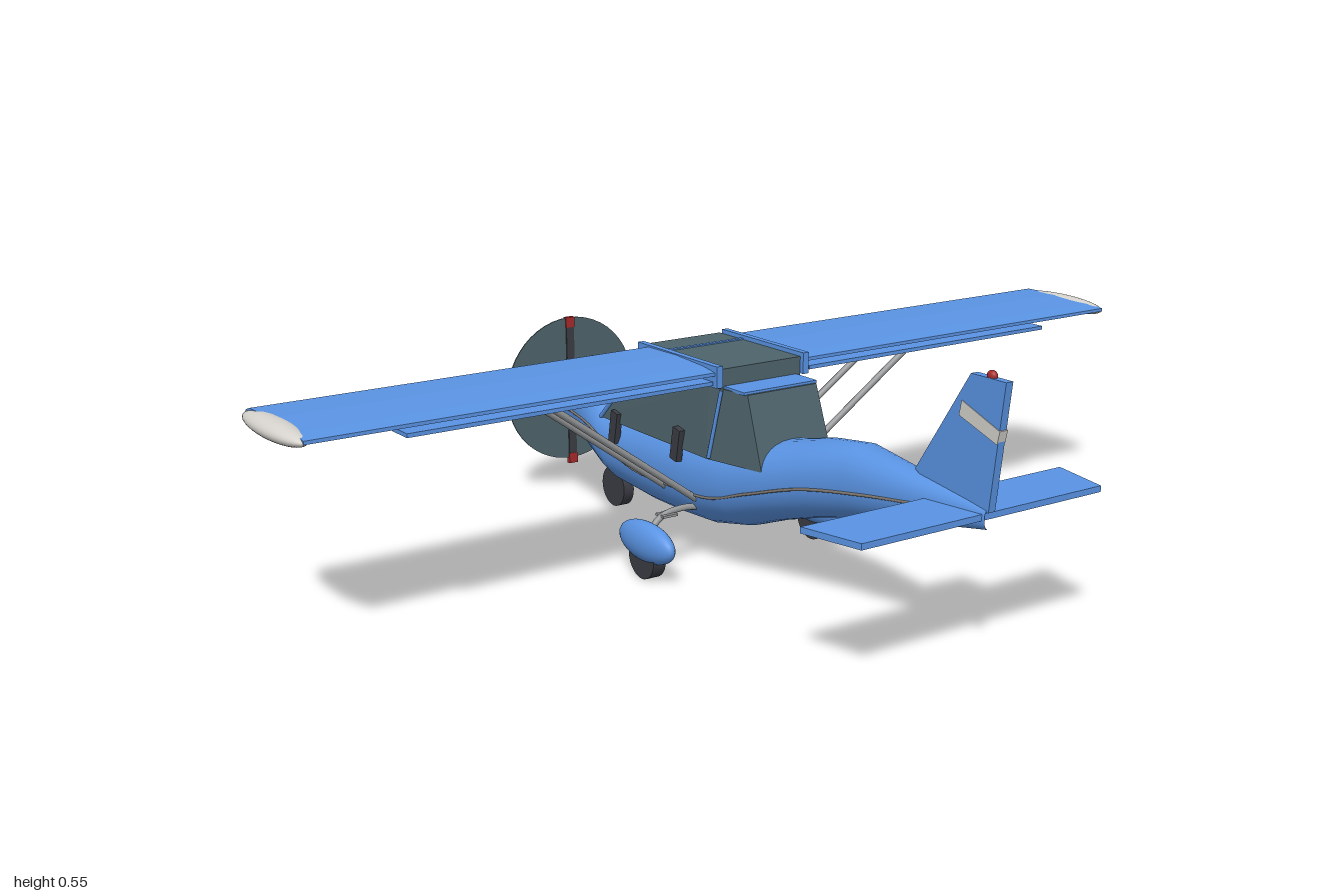
import * as THREE from 'three';
import { ConvexGeometry } from 'three/addons/geometries/ConvexGeometry.js';

const paint = (name, color) => {
  const m = new THREE.MeshStandardMaterial({ color });
  m.name = name;
  return m;
};

// Fuselage stations: z, top y, bottom y, half width
const STATIONS = [
  [0.71, 0.302, 0.262, 0.012], [0.55, 0.322, 0.233, 0.036], [0.37, 0.343, 0.197, 0.06],
  [0.26, 0.328, 0.17, 0.078], [0.15, 0.302, 0.137, 0.094], [0.05, 0.29, 0.1, 0.107], [-0.05, 0.285, 0.079, 0.111],
  [-0.15, 0.282, 0.075, 0.113], [-0.25, 0.28, 0.076, 0.114], [-0.38, 0.265, 0.089, 0.115],
  [-0.42, 0.285, 0.1, 0.114], [-0.47, 0.323, 0.12, 0.111], [-0.51, 0.342, 0.138, 0.108],
  [-0.56, 0.341, 0.145, 0.104], [-0.61, 0.332, 0.145, 0.098], [-0.65, 0.316, 0.159, 0.085],
  [-0.68, 0.295, 0.18, 0.066], [-0.7, 0.273, 0.205, 0.04], [-0.712, 0.25, 0.236, 0.008],
];

function sectionAt(z) {
  let i = 0;
  while (i < STATIONS.length - 2 && STATIONS[i + 1][0] > z) i++;
  const a = STATIONS[i], b = STATIONS[i + 1];
  const t = (a[0] - z) / (a[0] - b[0]);
  return a.map((v, k) => THREE.MathUtils.lerp(v, b[k], t));
}

function fuselageGeometry(n = 32) {
  const pos = [], idx = [];
  const power = (v) => Math.sign(v) * Math.abs(v) ** 0.9;
  for (const [z, top, bottom, w] of STATIONS) {
    for (let j = 0; j < n; j++) {
      const a = (j / n) * Math.PI * 2;
      pos.push(w * power(Math.cos(a)), (top + bottom) / 2 + ((top - bottom) / 2) * power(Math.sin(a)), z);
    }
  }
  for (let i = 0; i < STATIONS.length - 1; i++) {
    for (let j = 0; j < n; j++) {
      const k = (j + 1) % n;
      const a = i * n + j, b = a + n, c = i * n + k, d = c + n;
      idx.push(a, b, c, c, b, d);
    }
  }
  const g = new THREE.BufferGeometry();
  g.setAttribute('position', new THREE.Float32BufferAttribute(pos, 3));
  g.setIndex(idx);
  g.computeVertexNormals();
  return g;
}

// Extrudes a side outline of [z, y] points from x0 to x1
function slabX(points, x0, x1) {
  const shape = new THREE.Shape(points.map(([z, y]) => new THREE.Vector2(-z, y)));
  return new THREE.ExtrudeGeometry(shape, { depth: x1 - x0, bevelEnabled: false })
    .rotateY(Math.PI / 2).translate(x0, 0, 0);
}

function tube(points, radius, segments = 1) {
  const v = points.map((p) => new THREE.Vector3(...p));
  const curve = v.length === 2 ? new THREE.LineCurve3(v[0], v[1]) : new THREE.CatmullRomCurve3(v);
  return new THREE.TubeGeometry(curve, segments, radius, 8);
}

export function createModel() {
  const model = new THREE.Group();
  model.name = 'lightAircraft';
  const blue = paint('blue paint', 0x5a94e4);
  const glass = paint('tinted glass', 0x4e646b);
  const white = paint('off white', 0xd6d3cd);
  const metal = paint('strut grey', 0x96989a);
  const black = paint('rubber black', 0x3b3d44);
  const red = paint('signal red', 0xa82a2a);
  const trim = paint('trim line', 0x7d7770);

  const add = (name, geometry, material, x = 0, y = 0, z = 0) => {
    const mesh = new THREE.Mesh(geometry, material);
    mesh.name = name;
    mesh.position.set(x, y, z);
    model.add(mesh);
    return mesh;
  };
  const box = (w, h, d) => new THREE.BoxGeometry(w, h, d);
  const ball = (rx, ry, rz) => new THREE.SphereGeometry(1, 28, 18).scale(rx, ry, rz);

  add('fuselage', fuselageGeometry(), blue);

  // Cabin glass, roof and wing centre section
  const corners = [];
  for (const s of [-1, 1]) {
    for (const [x, y, z] of [[0.088, 0.25, 0.16], [0.108, 0.245, 0], [0.112, 0.25, -0.395],
      [0.085, 0.395, 0.11], [0.1, 0.395, 0], [0.1, 0.395, -0.255]]) {
      corners.push(new THREE.Vector3(s * x, y, z));
    }
  }
  add('cabinGlass', new ConvexGeometry(corners), glass);
  add('rearRoof', box(0.18, 0.006, 0.07), blue, 0, 0.397, 0.07);
  add('roofGlass', box(0.2, 0.04, 0.285), glass, 0, 0.415, -0.105);
  add('roofSpar', box(0.2, 0.005, 0.01), blue, 0, 0.435, -0.165);

  // Wing outline
  const airfoil = [[-0.225, 0.42], [-0.22, 0.433], [-0.2, 0.44], [-0.1, 0.442], [0, 0.437],
    [0.04, 0.431], [0.04, 0.424], [-0.02, 0.415], [-0.2, 0.409], [-0.22, 0.412]];

  for (const s of [-1, 1]) {
    const side = s > 0 ? 'left' : 'right';
    const span = (points, a, b) => (s > 0 ? slabX(points, a, b) : slabX(points, -b, -a));
    const sideTube = (points, r, n) => tube(points.map(([x, y, z]) => [s * x, y, z]), r, n);

    add(side + 'Wing', span(airfoil, 0.11, 0.972), blue);
    add(side + 'WingTip', ball(0.03, 0.019, 0.131), white, s * 0.97, 0.425, -0.092);
    add(side + 'Flap', box(0.66, 0.008, 0.06), blue, s * 0.45, 0.41, 0.012);
    add(side + 'RootRib', box(0.014, 0.044, 0.285), blue, s * 0.107, 0.422, -0.095);

    // Cabin frame
    add(side + 'DoorPillar', sideTube([[0.102, 0.395, 0.045], [0.11, 0.25, 0.01]], 0.004), blue);
    add(side + 'WindscreenPillar', sideTube([[0.1, 0.395, -0.255], [0.112, 0.25, -0.395]], 0.005), blue);
    for (const [y, z] of [[0.255, -0.097], [0.24, -0.335]]) {
      const vent = add(side + 'SideVent', box(0.014, 0.07, 0.025), black, s * 0.113, y, z);
      vent.rotation.x = 0.2;
    }

    // Wing struts
    for (const z of [-0.03, -0.138]) {
      add(side + 'WingStrut', sideTube([[0.465, 0.41, z], [0.1, 0.147, z - 0.018]], 0.007), metal);
    }

    // Main landing gear
    add(side + 'GearLeg', sideTube([[0.08, 0.125, -0.06], [0.13, 0.13, -0.06], [0.18, 0.12, -0.06],
      [0.215, 0.085, -0.058]], 0.007, 12), metal);
    add(side + 'GearStep', box(0.035, 0.005, 0.03), metal, s * 0.165, 0.123, -0.06);
    add(side + 'Wheel', new THREE.CylinderGeometry(0.046, 0.046, 0.03, 28).rotateZ(Math.PI / 2),
      black, s * 0.217, 0.046, -0.055);
    add(side + 'WheelSpat', ball(0.028, 0.042, 0.095), blue, s * 0.217, 0.076, -0.055);

    // Tailplane half
    const tail = new THREE.Shape([[0, -0.572], [s * 0.31, -0.572], [s * 0.283, -0.704], [0, -0.704]]
      .map(([x, y]) => new THREE.Vector2(x, y)));
    add(side + 'Tailplane', new THREE.ExtrudeGeometry(tail, { depth: 0.012, bevelEnabled: false })
      .rotateX(-Math.PI / 2), blue, 0, 0.279, 0);

    // Trim line following the hull
    const line = [[0.585, 0.28], [0.42, 0.263], [0.265, 0.24], [0.12, 0.198], [0, 0.162], [-0.13, 0.158],
      [-0.275, 0.162], [-0.37, 0.19], [-0.455, 0.222], [-0.56, 0.236]].map(([z, y]) => {
      const [, top, bottom, w] = sectionAt(z);
      const v = (2 * y - top - bottom) / (top - bottom);
      return [w * (1 - Math.abs(v) ** 2.22) ** 0.45, y, z];
    });
    add(side + 'TrimLine', sideTube(line, 0.003, 60), trim);
  }

  // Fin, band and beacon
  add('tailFin', slabX([[0.748, 0.535], [0.66, 0.535], [0.52, 0.33], [0.6, 0.29], [0.715, 0.295]],
    -0.008, 0.008), blue);
  add('finBand', slabX([[0.738, 0.447], [0.64, 0.483], [0.634, 0.455], [0.732, 0.422]], -0.0095, 0.0095), white);
  add('beacon', ball(0.008, 0.01, 0.011), red, 0, 0.538, 0.705);

  // Nose wheel
  add('noseLeg', tube([[0, 0.16, -0.49], [0, 0.05, -0.51]], 0.008), metal);
  add('noseWheel', new THREE.CylinderGeometry(0.046, 0.046, 0.026, 28).rotateZ(Math.PI / 2),
    black, 0, 0.046, -0.51);

  // Propeller, sweep disc and spinner
  add('propellerDisc', new THREE.CylinderGeometry(0.168, 0.168, 0.003, 48).rotateX(Math.PI / 2),
    glass, 0, 0.235, -0.711);
  add('propellerBlade', box(0.02, 0.32, 0.009), black, 0, 0.232, -0.711);
  for (const y of [0.392, 0.066]) add('bladeTip', box(0.022, 0.024, 0.011), red, 0, y, -0.711);
  add('spinner', ball(0.025, 0.025, 0.036), white, 0, 0.243, -0.712);

  // Air probe on the right wing
  add('airProbe', box(0.05, 0.006, 0.006), metal, -0.36, 0.412, -0.232);
  return model;
}
